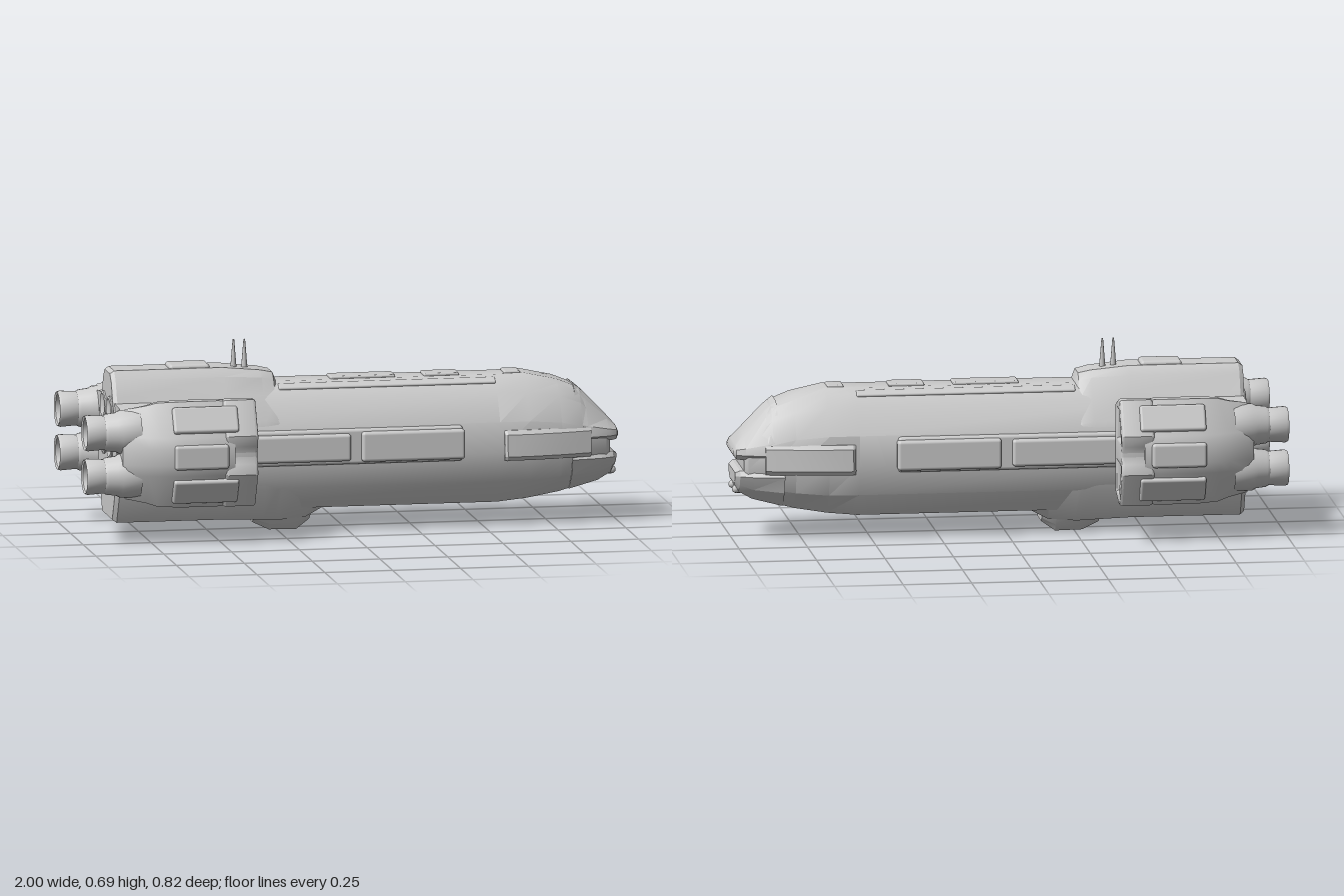
import * as THREE from 'three';
import { toCreasedNormals } from 'three/addons/utils/BufferGeometryUtils.js';
import { RoundedBoxGeometry } from 'three/addons/geometries/RoundedBoxGeometry.js';

const grey = new THREE.MeshStandardMaterial({ color: 0xcccccc });
const greyDouble = new THREE.MeshStandardMaterial({ color: 0xcccccc, side: THREE.DoubleSide });

function add(parent, name, geometry, x = 0, y = 0, z = 0, material = grey) {
  const mesh = new THREE.Mesh(geometry, material);
  mesh.name = name;
  mesh.position.set(x, y, z);
  parent.add(mesh);
  return mesh;
}

// Closed skin over cross-sections [x, [[z, y], ...]] with capped ends
function loft(sections, crease = 0.45) {
  const n = sections[0][1].length, pos = [], idx = [];
  for (const [x, ring] of sections) for (const [z, y] of ring) pos.push(x, y, z);
  for (let s = 0; s < sections.length - 1; s++)
    for (let i = 0; i < n; i++) {
      const a = s * n + i, b = s * n + (i + 1) % n;
      idx.push(a, b, a + n, b, b + n, a + n);
    }
  [0, sections.length - 1].forEach((s, end) => {
    const [x, ring] = sections[s], c = pos.length / 3;
    const mean = k => ring.reduce((t, p) => t + p[k], 0) / n;
    pos.push(x, mean(1), mean(0));
    for (let i = 0; i < n; i++) {
      const a = s * n + i, b = s * n + (i + 1) % n;
      if (end) idx.push(c, a, b); else idx.push(c, b, a);
    }
  });
  // Turn the faces outward if the enclosed volume is negative
  const v = i => new THREE.Vector3().fromArray(pos, i * 3);
  let volume = 0;
  for (let i = 0; i < idx.length; i += 3) volume += v(idx[i]).dot(v(idx[i + 1]).cross(v(idx[i + 2])));
  if (volume < 0) idx.reverse();
  const g = new THREE.BufferGeometry();
  g.setAttribute('position', new THREE.Float32BufferAttribute(pos, 3));
  g.setIndex(idx);
  return toCreasedNormals(g, crease);
}

// Full ring from a half profile running top to bottom
const mirror = half => [...half, ...half.slice().reverse().map(([z, y]) => [-z, y])];
const symLoft = (sections, crease) => loft(sections.map(([x, half]) => [x, mirror(half)]), crease);

// Engine nozzle with open bore, pointing to -x
function nozzle(parent, name, x, y, z, profile) {
  const g = new THREE.LatheGeometry(profile.map(p => new THREE.Vector2(...p)), 24);
  add(parent, name, toCreasedNormals(g, 0.6), x, y, z, greyDouble).rotation.z = Math.PI / 2;
}

function buildHull(ship) {
  const mid = [[0.05, 0.545], [0.085, 0.53], [0.12, 0.49], [0.18, 0.39], [0.19, 0.28], [0.165, 0.17], [0.11, 0.087]];
  add(ship, 'hull', symLoft([
    [-0.6, mid], [0.55, mid],
    [0.66, [[0.05, 0.548], [0.085, 0.53], [0.125, 0.485], [0.18, 0.39], [0.188, 0.28], [0.16, 0.17], [0.1, 0.096]]],
    [0.78, [[0.05, 0.522], [0.08, 0.51], [0.12, 0.47], [0.17, 0.38], [0.18, 0.28], [0.15, 0.18], [0.09, 0.115]]],
    [0.86, [[0.05, 0.49], [0.075, 0.48], [0.11, 0.44], [0.155, 0.36], [0.16, 0.28], [0.13, 0.19], [0.08, 0.135]]],
    [0.95, [[0.05, 0.375], [0.07, 0.37], [0.09, 0.355], [0.135, 0.33], [0.135, 0.27], [0.11, 0.2], [0.06, 0.165]]],
    [0.965, [[0.05, 0.34], [0.07, 0.335], [0.085, 0.33], [0.12, 0.31], [0.12, 0.27], [0.1, 0.21], [0.06, 0.175]]],
  ]));
  // Nose: brow above, jaw below, gap between
  add(ship, 'noseBrow', symLoft([
    [0.84, [[0.055, 0.505], [0.085, 0.485], [0.155, 0.37], [0.162, 0.32], [0.15, 0.3]]],
    [0.88, [[0.055, 0.472], [0.085, 0.45], [0.15, 0.36], [0.157, 0.32], [0.14, 0.3]]],
    [0.96, [[0.06, 0.388], [0.085, 0.375], [0.135, 0.345], [0.14, 0.32], [0.12, 0.3]]],
    [0.992, [[0.07, 0.352], [0.09, 0.348], [0.115, 0.338], [0.118, 0.32], [0.1, 0.302]]],
    [1.0, [[0.07, 0.335], [0.08, 0.333], [0.095, 0.33], [0.098, 0.322], [0.09, 0.315]]],
  ]));
  add(ship, 'noseJaw', symLoft([
    [0.82, [[0.15, 0.262], [0.165, 0.24], [0.145, 0.18], [0.085, 0.122]]],
    [0.93, [[0.13, 0.262], [0.145, 0.24], [0.12, 0.19], [0.065, 0.148]]],
    [0.978, [[0.11, 0.26], [0.12, 0.24], [0.1, 0.205], [0.06, 0.175]]],
    [0.994, [[0.09, 0.25], [0.095, 0.238], [0.085, 0.222], [0.06, 0.205]]],
  ]));
  for (const s of [-1, 1]) {
    const gun = add(ship, 'chinGun', new THREE.CapsuleGeometry(0.015, 0.05, 4, 10), 0.96, 0.182, s * 0.047);
    gun.rotation.z = Math.PI / 2;
    // Flank panels and cheek plates
    add(ship, 'flankPanelRear', new RoundedBoxGeometry(0.4, 0.1, 0.08, 3, 0.012), -0.205, 0.32, s * 0.18);
    add(ship, 'flankPanelFront', new RoundedBoxGeometry(0.38, 0.11, 0.08, 3, 0.012), 0.225, 0.32, s * 0.18);
    add(ship, 'flankRail', new RoundedBoxGeometry(0.86, 0.13, 0.06, 2, 0.012), -0.02, 0.32, s * 0.168);
    const cheek = (x, d) => [x, [[0.1, 0.36], [0.18 + d, 0.36], [0.192 + d, 0.345], [0.196 + d, 0.265], [0.186 + d, 0.25], [0.1, 0.25]].map(([z, y]) => [s * z, y])];
    add(ship, 'cheekPlate', loft([cheek(0.565, 0), cheek(0.575, 0.008), cheek(0.66, 0.006), cheek(0.78, -0.01), cheek(0.89, -0.035)]));
    // Raised rails along the shoulders
    add(ship, 'shoulderRail', new RoundedBoxGeometry(0.8, 0.02, 0.035, 2, 0.006), 0.15, 0.525, s * 0.078).rotation.x = s * 0.5;
  }
  for (const [x, len] of [[0.07, 0.24], [0.36, 0.13], [0.62, 0.06]])
    add(ship, 'spinePlate', new RoundedBoxGeometry(len, 0.02, 0.08, 2, 0.006), x, 0.544, 0);
}

function buildStern(ship) {
  // Deep rear body rising above and below the hull
  const rear = [[0.055, 0.602], [0.085, 0.572], [0.11, 0.51], [0.17, 0.42], [0.192, 0.32], [0.165, 0.165], [0.105, 0.052]];
  const shrink = rear.map(([z, y]) => [z * 0.94, 0.33 + (y - 0.33) * 0.96]);
  add(ship, 'sternBody', symLoft([
    [-0.865, shrink], [-0.85, rear], [-0.45, rear],
    [-0.31, [[0.05, 0.588], [0.08, 0.565], [0.11, 0.505], [0.17, 0.42], [0.19, 0.32], [0.165, 0.165], [0.095, 0.045]]],
    [-0.265, [[0.045, 0.578], [0.07, 0.555], [0.11, 0.495], [0.17, 0.41], [0.188, 0.32], [0.164, 0.165], [0.09, 0.042]]],
    [-0.25, [[0.04, 0.54], [0.06, 0.53], [0.1, 0.49], [0.165, 0.41], [0.186, 0.32], [0.163, 0.165], [0.09, 0.042]]],
    [-0.15, [[0.04, 0.53], [0.06, 0.52], [0.1, 0.48], [0.16, 0.4], [0.18, 0.32], [0.16, 0.17], [0.085, 0.05]]],
    [-0.07, [[0.04, 0.52], [0.06, 0.51], [0.1, 0.47], [0.16, 0.4], [0.18, 0.32], [0.15, 0.17], [0.08, 0.092]]],
  ]));
  add(ship, 'dorsalHump', new RoundedBoxGeometry(0.15, 0.04, 0.1, 3, 0.012), -0.57, 0.595, 0);
  add(ship, 'ventralBlister', symLoft([
    [-0.34, [[0.09, 0.07], [0.075, 0.045], [0.05, 0.03]]],
    [-0.28, [[0.095, 0.07], [0.075, 0.025], [0.055, 0.002]]],
    [-0.18, [[0.095, 0.07], [0.075, 0.025], [0.055, 0.0]]],
    [-0.13, [[0.085, 0.08], [0.07, 0.05], [0.045, 0.035]]],
  ]));
  for (const x of [-0.4, -0.36])
    add(ship, 'antenna', new THREE.CylinderGeometry(0.003, 0.012, 0.11, 10), x, 0.64, 0);
  // Small thrusters set in the rear face
  for (const y of [0.2, 0.33, 0.46])
    for (const s of [-1, 1])
      nozzle(ship, 'sternThruster', -0.84, y, s * 0.062, [[0.055, 0], [0.05, 0.03], [0.042, 0.033], [0.03, 0.026], [0, 0.026]]);
}

// Engine pod on the +z side, built about its own mid-height
function buildPod() {
  const pod = new THREE.Group();
  pod.name = 'enginePod';
  const both = half => [...half, ...half.slice().reverse().map(([z, y]) => [z, -y])];
  const shape = pts => pts.map(([z, y]) => new THREE.Vector2(-z, y));

  // Intake frame with two trapezoid openings
  const frame = new THREE.Shape(shape(both([[0.22, 0.16], [0.295, 0.187], [0.325, 0.187], [0.385, 0.07], [0.38, 0.035], [0.365, 0.01]])));
  for (const s of [1, -1])
    frame.holes.push(new THREE.Path(shape([[0.237, 0.035], [0.237, 0.16], [0.305, 0.16], [0.368, 0.055], [0.355, 0.035]].map(([z, y]) => [z, s * y]))));
  const g = new THREE.ExtrudeGeometry(frame, { depth: 0.1, bevelEnabled: true, bevelThickness: 0.01, bevelSize: 0.008, bevelSegments: 3 });
  add(pod, 'intakeFrame', toCreasedNormals(g.rotateY(Math.PI / 2), 0.6), -0.49, 0, 0);

  // Body tapering aft
  const ring = (x, top, out, inner = 0.21) => [x, both([[inner, top - 0.03], [0.285, top], [0.325 + (out - 0.4), top], [out - 0.01, 0.07], [out, 0.03]])];
  add(pod, 'podBody', loft([
    ring(-0.465, 0.19, 0.392), ring(-0.52, 0.194, 0.4), ring(-0.66, 0.194, 0.402),
    ring(-0.74, 0.19, 0.388), ring(-0.78, 0.178, 0.375), ring(-0.85, 0.165, 0.35), ring(-0.87, 0.145, 0.335, 0.22),
  ]));
  // Outer armour strip and plates
  add(pod, 'outerStrip', new RoundedBoxGeometry(0.2, 0.09, 0.04, 3, 0.012), -0.59, 0, 0.392);
  for (const s of [-1, 1]) {
    const plate = add(pod, 'armourPlate', new RoundedBoxGeometry(0.24, 0.1, 0.025, 3, 0.01), -0.57, s * 0.13, 0.361);
    plate.rotation.x = -s * 0.5;
    nozzle(pod, 'engineNozzle', -0.8, s * 0.08, 0.27,
      [[0.08, 0], [0.08, 0.07], [0.072, 0.085], [0.068, 0.12], [0.062, 0.13], [0.066, 0.19], [0.062, 0.2], [0.054, 0.195], [0.046, 0.12], [0, 0.11]]);
  }
  // Pylon joining pod and stern
  add(pod, 'pylon', loft([-0.86, -0.42].map(x => [x, both([[0.06, 0.16], [0.2, 0.157], [0.235, 0.15]])])));
  return pod;
}

export function createModel() {
  const ship = new THREE.Group();
  ship.name = 'spaceship';
  buildHull(ship);
  buildStern(ship);
  // The pod is symmetric in height, so a half turn gives the other side
  for (const turn of [0, Math.PI]) {
    const pod = buildPod();
    pod.position.y = 0.333;
    pod.rotation.x = turn;
    ship.add(pod);
  }
  return ship;
}
